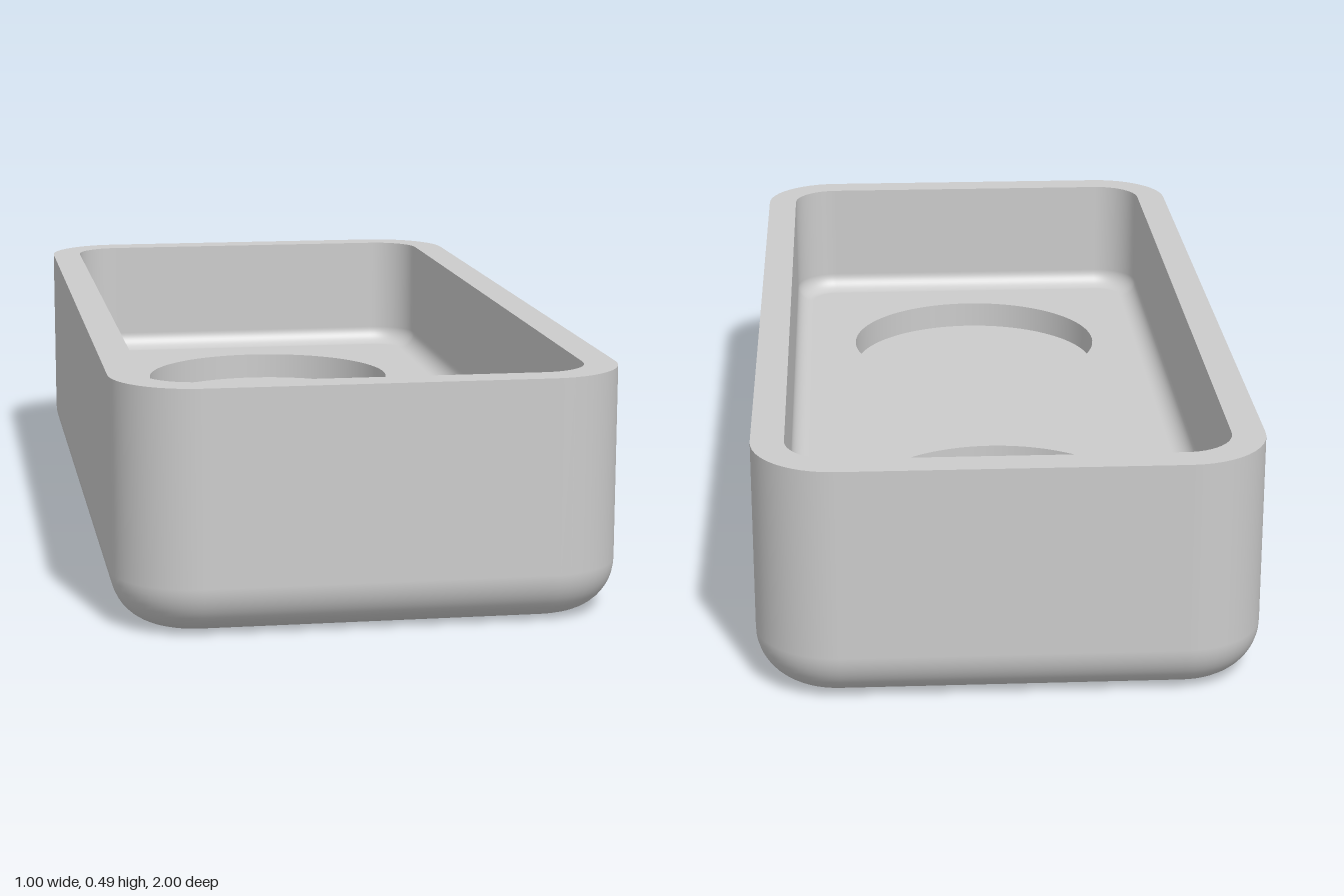
import * as THREE from 'three';

const H = 0.487, WALL = 0.066;
const OUTER = { hx: 0.5, hz: 1, r: 0.165, fillet: 0.1, y: 0 };
const INNER = { hx: 0.5 - WALL, hz: 1 - WALL, r: 0.1, fillet: 0.04, y: 0.224 };
const POCKET = { r: 0.29, z: 0.5, depth: 0.06 };
const ARC = 12;

// Rounded rectangle outline; each entry holds a point and its outward direction
function outline({ hx, hz, r }, inset = 0) {
  const pts = [];
  [[1, 1], [-1, 1], [-1, -1], [1, -1]].forEach(([sx, sz], q) => {
    for (let i = 0; i <= ARC; i++) {
      const a = (q + i / ARC) * Math.PI / 2, c = Math.cos(a), s = Math.sin(a);
      pts.push({ x: sx * (hx - r) + (r - inset) * c, z: sz * (hz - r) + (r - inset) * s, c, s });
    }
  });
  return pts;
}

const points2D = (box, inset) => outline(box, inset).map(p => new THREE.Vector2(p.x, p.z));

// Wall rising from a filleted bottom edge; sign -1 faces it inwards
function wallGeometry(box, sign) {
  const pos = [], nor = [], idx = [], rows = [];
  for (let i = 0; i <= ARC; i++) {
    const t = (1 - i / ARC) * Math.PI / 2;
    rows.push([box.fillet * (1 - Math.cos(t)), box.y + box.fillet * (1 - Math.sin(t)), t]);
  }
  rows.push([0, H, 0]);
  for (const [inset, y, t] of rows) {
    for (const p of outline(box, inset)) {
      pos.push(p.x, y, p.z);
      nor.push(sign * p.c * Math.cos(t), -sign * Math.sin(t), sign * p.s * Math.cos(t));
    }
  }
  const n = 4 * (ARC + 1);
  for (let i = 0; i < rows.length - 1; i++) {
    for (let j = 0; j < n; j++) {
      const a = i * n + j, b = i * n + (j + 1) % n, c = a + n, d = b + n;
      if (sign > 0) idx.push(a, c, b, b, c, d);
      else idx.push(a, b, c, b, d, c);
    }
  }
  const g = new THREE.BufferGeometry();
  g.setAttribute('position', new THREE.Float32BufferAttribute(pos, 3));
  g.setAttribute('normal', new THREE.Float32BufferAttribute(nor, 3));
  g.setIndex(idx);
  return g;
}

// Flat horizontal face, facing up (1) or down (-1)
function flatGeometry(shape, y, up = 1) {
  return new THREE.ShapeGeometry(shape, 48).rotateX(-up * Math.PI / 2).translate(0, y, 0);
}

export function createModel() {
  const model = new THREE.Group();
  model.name = 'tray';
  const material = new THREE.MeshStandardMaterial({ color: 0xcccccc });
  const insideMaterial = new THREE.MeshStandardMaterial({ color: 0xcccccc, side: THREE.BackSide });
  const add = (name, geometry, mat = material) => {
    const mesh = new THREE.Mesh(geometry, mat);
    mesh.name = name;
    model.add(mesh);
    return mesh;
  };

  // Outer shell and underside
  add('outerWall', wallGeometry(OUTER, 1));
  add('underside', flatGeometry(new THREE.Shape(points2D(OUTER, OUTER.fillet)), 0, -1));

  // Flat rim between the outer and inner walls
  const rim = new THREE.Shape(points2D(OUTER));
  rim.holes.push(new THREE.Path(points2D(INNER)));
  add('rim', flatGeometry(rim, H));

  // Recess with a floor pierced by two round pockets
  add('innerWall', wallGeometry(INNER, -1));
  const floor = new THREE.Shape(points2D(INNER, INNER.fillet));
  for (const side of [-1, 1]) {
    floor.holes.push(new THREE.Path().absarc(0, side * POCKET.z, POCKET.r, 0, Math.PI * 2, true));
  }
  add('floor', flatGeometry(floor, INNER.y));

  // Pocket walls and bottoms
  for (const side of [-1, 1]) {
    const name = side > 0 ? 'frontPocket' : 'backPocket';
    const wall = new THREE.CylinderGeometry(POCKET.r, POCKET.r, POCKET.depth, 96, 1, true);
    add(name + 'Wall', wall, insideMaterial)
      .position.set(0, INNER.y - POCKET.depth / 2, side * POCKET.z);
    add(name + 'Bottom', new THREE.CircleGeometry(POCKET.r, 96).rotateX(-Math.PI / 2))
      .position.set(0, INNER.y - POCKET.depth, side * POCKET.z);
  }
  return model;
}
